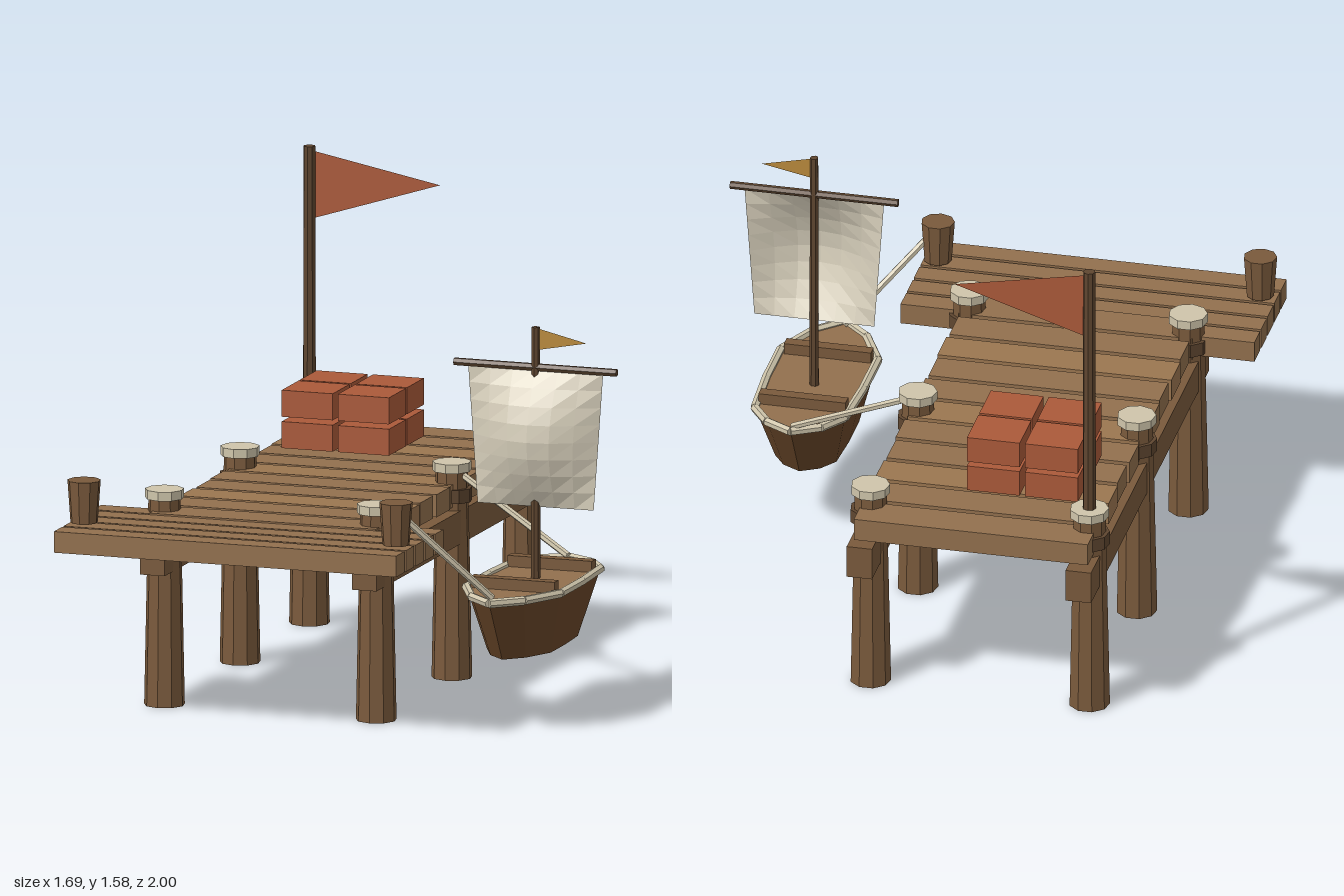
import * as THREE from 'three';

const mat = (color, side = THREE.FrontSide) =>
  new THREE.MeshStandardMaterial({ color, flatShading: true, side });
const WOOD = mat(0x7a5a3c), PLANK_A = mat(0x92704e), PLANK_B = mat(0x9b7650), DARK = mat(0x5f4630);
const HULL = mat(0x6a4729), ROPE = mat(0xcfc5ab), CRATE = mat(0xab5a3a);
const FLAG = mat(0xab5a3a, THREE.DoubleSide), GOLD = mat(0xb98a3c, THREE.DoubleSide);
const CLOTH = mat(0xd8d0bc, THREE.DoubleSide);

export function createModel() {
  const model = new THREE.Group();
  model.name = 'dockWithSailboat';

  const add = (name, geometry, material, x = 0, y = 0, z = 0, parent = model) => {
    const mesh = new THREE.Mesh(geometry, material);
    mesh.name = name;
    mesh.position.set(x, y, z);
    parent.add(mesh);
    return mesh;
  };
  const box = (name, material, w, h, d, x, y, z, parent) =>
    add(name, new THREE.BoxGeometry(w, h, d), material, x, y, z, parent);
  // Upright round part from y0 to y1
  const post = (name, material, rTop, rBottom, y0, y1, x, z, sides = 9, parent) =>
    add(name, new THREE.CylinderGeometry(rTop, rBottom, y1 - y0, sides), material, x, (y0 + y1) / 2, z, parent);
  // Straight rod between two points
  const rod = (name, material, a, b, r, parent, sides = 6) => {
    const from = new THREE.Vector3(...a), to = new THREE.Vector3(...b);
    const dir = to.clone().sub(from);
    const mesh = add(name, new THREE.CylinderGeometry(r, r, dir.length(), sides), material, 0, 0, 0, parent);
    mesh.position.copy(from).add(to).multiplyScalar(0.5);
    mesh.quaternion.setFromUnitVectors(new THREE.Vector3(0, 1, 0), dir.normalize());
    return mesh;
  };
  // Triangular flag pointing to +x
  const pennant = (name, material, x, z, yTop, yBottom, tipX, tipY, parent) => {
    const shape = new THREE.Shape();
    shape.moveTo(x, yBottom).lineTo(tipX, tipY).lineTo(x, yTop).closePath();
    return add(name, new THREE.ShapeGeometry(shape), material, 0, 0, z, parent);
  };

  // Piles with collars and pale caps, and the beams that join them
  for (const x of [-0.62, 0.11]) {
    for (const z of [0.56, -0.17, -0.84]) {
      post('pile', WOOD, 0.053, 0.067, 0, 0.69, x, z);
      post('pileCollar', DARK, 0.067, 0.067, 0.585, 0.63, x, z);
      post('pileCap', ROPE, 0.064, 0.064, 0.685, 0.715, x, z);
    }
    box('beam', WOOD, 0.085, 0.11, 1.675, x, 0.505, -0.16);
  }

  // Walkway planks
  for (let i = 0; i < 11; i++) {
    box('walkwayPlank', i % 3 === 2 ? PLANK_B : PLANK_A, 0.78 - (i % 2) * 0.01, 0.075, 0.128,
      -0.255, 0.61, -0.905 + i * 0.148);
  }

  // Wide landing at the front with two mooring posts
  for (let i = 0; i < 5; i++) {
    box('landingPlank', PLANK_A, 1.18, 0.07, 0.08, -0.255, 0.607, 0.583 + i * 0.094);
  }
  for (const x of [-0.79, 0.285]) post('mooringPost', WOOD, 0.055, 0.045, 0.65, 0.79, x, 0.86);

  // Flagpole
  post('flagpole', DARK, 0.02, 0.022, 0.7, 1.58, -0.62, -0.84, 8);
  pennant('flag', FLAG, -0.61, -0.84, 1.565, 1.34, -0.17, 1.48);

  // Stacked crates
  for (const x of [-0.467, -0.273])
    for (const y of [0.714, 0.818])
      for (const z of [-0.645, -0.47])
        box('crate', CRATE, 0.176, 0.088, 0.163, x, y, z);

  // Boat, built around its own centre
  const boat = new THREE.Group();
  boat.name = 'sailboat';
  boat.position.set(0.563, 0, 0.345);
  model.add(boat);

  // Gunwale outline from bow (+z) along the left side to the stern, then mirrored
  const half = [[0.09, 0.31], [0.162, 0.16], [0.162, -0.05], [0.15, -0.26], [0.09, -0.345]];
  const outline = [[0, 0.395], ...half, [0, -0.395], ...half.map(([x, z]) => [-x, z]).reverse()];
  const TOP = 0.45, BOTTOM = 0.24, TAPER = 0.68;
  const verts = [];
  outline.forEach(([x, z], i) => {
    const [x2, z2] = outline[(i + 1) % outline.length];
    const t1 = [x, TOP, z], t2 = [x2, TOP, z2];
    const b1 = [x * TAPER, BOTTOM, z * TAPER], b2 = [x2 * TAPER, BOTTOM, z2 * TAPER];
    verts.push(...b1, ...b2, ...t2, ...b1, ...t2, ...t1, 0, BOTTOM, 0, ...b2, ...b1);
    rod('gunwale', ROPE, t1, t2, 0.015, boat);
  });
  const hull = new THREE.BufferGeometry();
  hull.setAttribute('position', new THREE.Float32BufferAttribute(verts, 3));
  hull.computeVertexNormals();
  add('hull', hull, HULL, 0, 0, 0, boat);

  // Boat floor and benches
  const floorShape = new THREE.Shape(outline.map(([x, z]) => new THREE.Vector2(x, -z)));
  const floor = new THREE.ShapeGeometry(floorShape);
  floor.rotateX(-Math.PI / 2);
  add('boatFloor', floor, PLANK_A, 0, TOP, 0, boat);
  for (const z of [-0.21, 0.15]) box('bench', WOOD, 0.29, 0.04, 0.04, 0, 0.467, z, boat);

  // Mast, yard and pennant
  const mastZ = -0.055;
  post('mast', DARK, 0.014, 0.016, TOP, 1.28, 0, mastZ, 7, boat);
  rod('yard', DARK, [-0.28, 1.147, mastZ], [0.28, 1.147, mastZ], 0.013, boat);
  pennant('mastPennant', GOLD, 0.01, mastZ, 1.275, 1.205, 0.175, 1.237, boat);

  // Sail: narrower at the foot and bellied toward the bow
  const sail = new THREE.PlaneGeometry(1, 1, 6, 8);
  const p = sail.attributes.position;
  for (let i = 0; i < p.count; i++) {
    const u = p.getX(i), v = p.getY(i) + 0.5;
    p.setXYZ(i, u * (0.4 + 0.065 * v), 0.685 + 0.455 * v,
      mastZ + 0.09 * Math.cos(Math.PI * u) * Math.sin(Math.PI * v));
  }
  sail.computeVertexNormals();
  add('sail', sail, CLOTH, 0, 0, 0, boat);

  // Mooring ropes
  rod('sternRope', ROPE, [0.12, 0.69, -0.17], [0.56, 0.46, -0.03], 0.012);
  rod('bowRope', ROPE, [0.3, 0.75, 0.86], [0.56, 0.46, 0.7], 0.012);

  return model;
}
